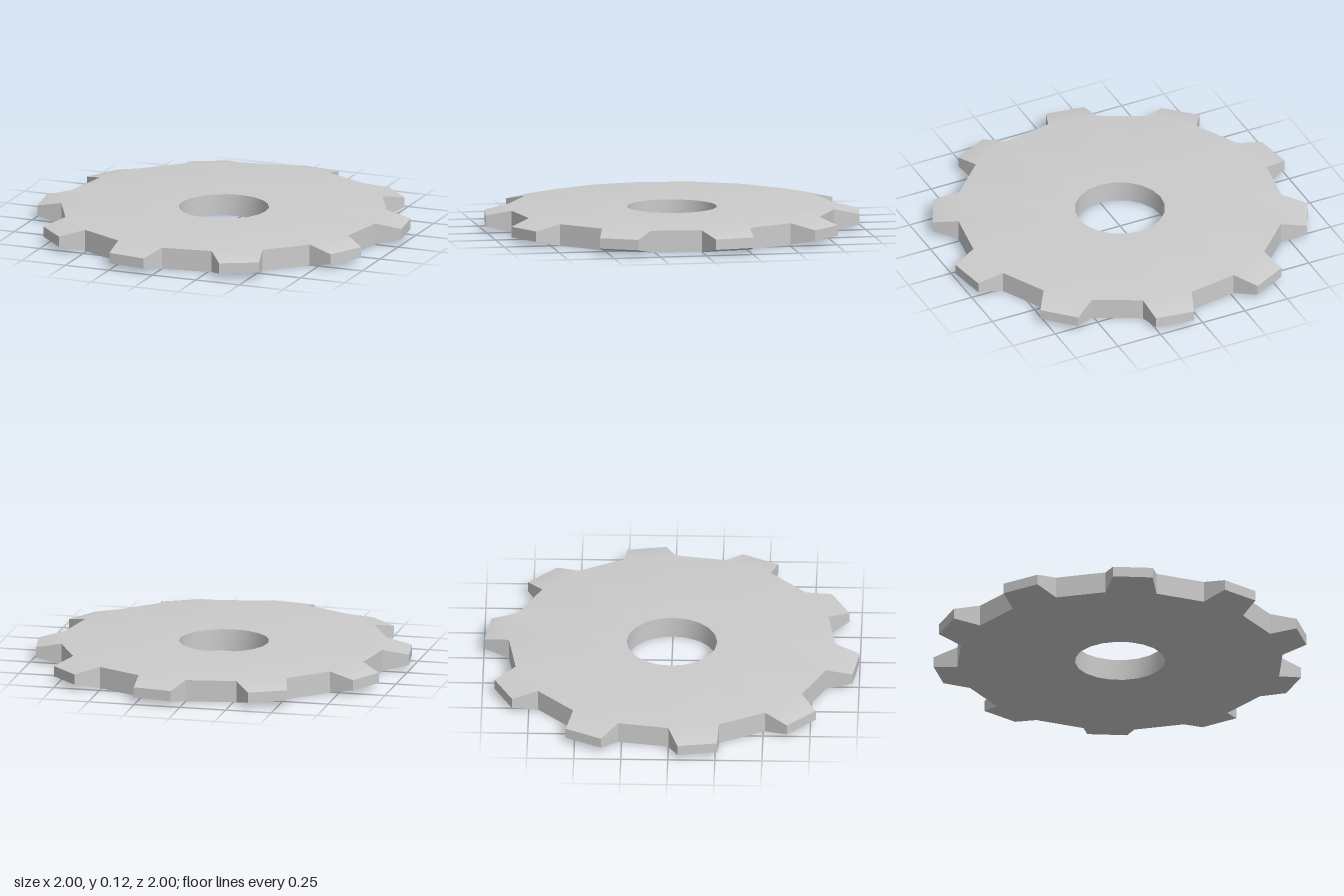
import * as THREE from 'three';
import { toCreasedNormals } from 'three/addons/utils/BufferGeometryUtils.js';

const TEETH = 10;
const STEP = Math.PI / TEETH; // one tooth or one gap
const HOLE = 0.24, ROOT = 0.867, TIP = 1.0;
const MID = 0.058, HALF = 0.058, TIP_HALF = 0.028;
const TAPER = THREE.MathUtils.degToRad(2.9); // tooth narrows by this at each side

// Top and bottom points at an angle clockwise from the back
function rim(radius, angle, half) {
  const x = radius * Math.sin(angle), z = -radius * Math.cos(angle);
  return { top: [x, MID + half, z], bottom: [x, MID - half, z] };
}

function createGearGeometry() {
  const positions = [];
  const quad = (a, b, c, d) => positions.push(...a, ...b, ...c, ...a, ...c, ...d);
  // Upper and lower faces between an inner and an outer edge
  const faces = (in0, in1, out1, out0) => {
    quad(in0.top, in1.top, out1.top, out0.top);
    quad(out0.bottom, out1.bottom, in1.bottom, in0.bottom);
  };
  // Outward wall following the outline clockwise
  const wall = (p, q) => quad(p.top, q.top, q.bottom, p.bottom);

  for (let i = 0; i < TEETH * 2; i++) {
    const a = i * STEP, b = ((i + 1) % (TEETH * 2)) * STEP;
    const hole0 = rim(HOLE, a, HALF), hole1 = rim(HOLE, b, HALF);
    const root0 = rim(ROOT, a, HALF), root1 = rim(ROOT, b, HALF);
    faces(hole0, hole1, root1, root0);
    wall(hole1, hole0);
    if (i % 2 === 0) {
      // Tooth, thinner and narrower at its tip
      const tip0 = rim(TIP, a + TAPER, TIP_HALF);
      const tip1 = rim(TIP, a + STEP - TAPER, TIP_HALF);
      faces(root0, root1, tip1, tip0);
      wall(root0, tip0);
      wall(tip0, tip1);
      wall(tip1, root1);
    } else {
      wall(root0, root1); // gap between teeth
    }
  }
  const geometry = new THREE.BufferGeometry();
  geometry.setAttribute('position', new THREE.Float32BufferAttribute(positions, 3));
  return toCreasedNormals(geometry, Math.PI / 6);
}

export function createModel() {
  const group = new THREE.Group();
  group.name = 'gear';
  const wheel = new THREE.Mesh(createGearGeometry(), new THREE.MeshStandardMaterial({ color: 0xcccccc }));
  wheel.name = 'toothedWheel';
  group.add(wheel);
  return group;
}
